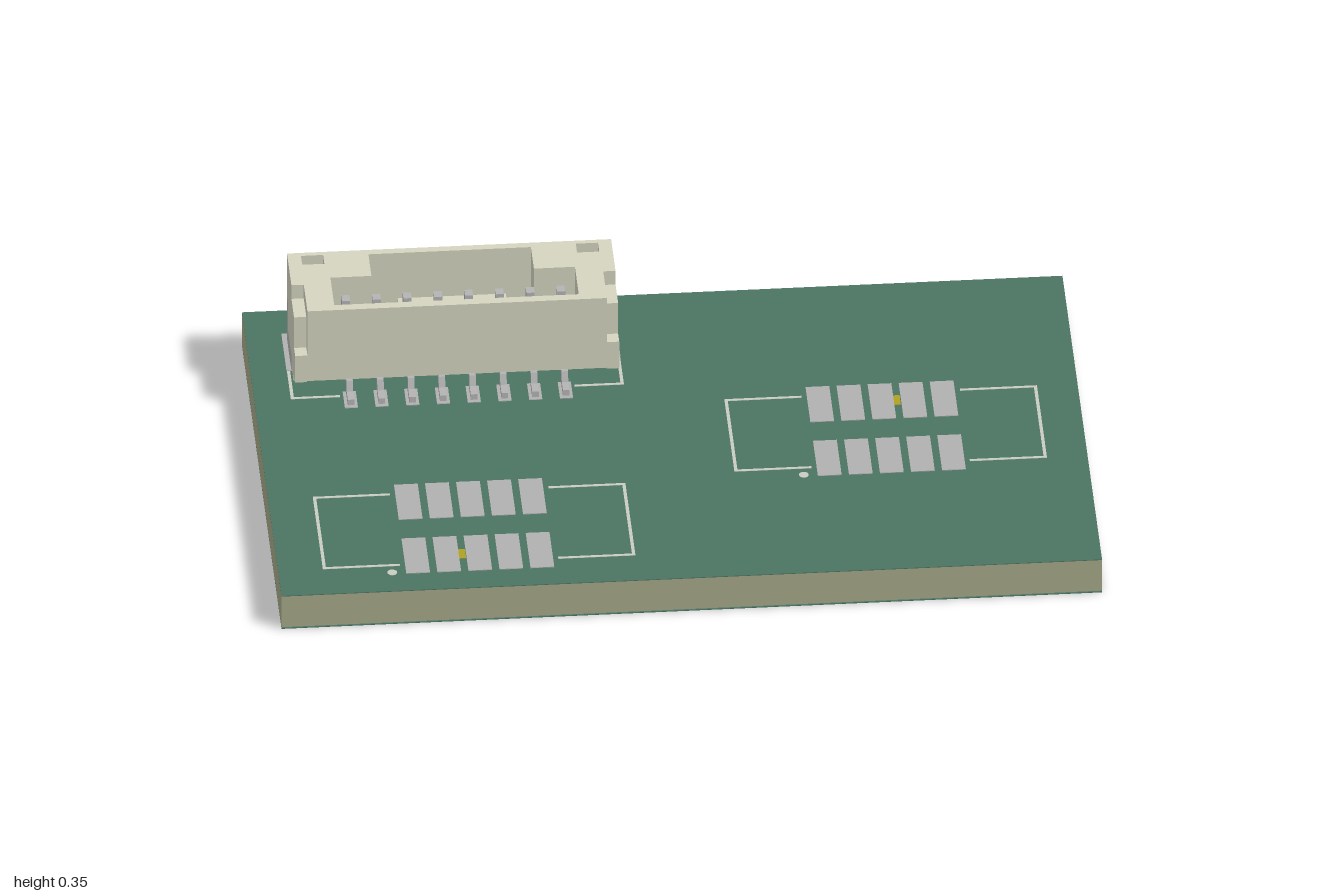
import * as THREE from 'three';

const mat = (color) => new THREE.MeshStandardMaterial({ color, flatShading: true });
const MASK = mat(0x4b7463), CORE = mat(0xa6a888), COPPER = mat(0xb0a020), PAD = mat(0xb0b0b0);
const SILK = mat(0xc8ccc0), PLASTIC = mat(0xd4d4c0), METAL = mat(0xb4b4b4);
const TOP = 0.097; // upper face of the board

function add(parent, name, geometry, material) {
  const mesh = new THREE.Mesh(geometry, material);
  mesh.name = name;
  parent.add(mesh);
  return mesh;
}

// Box given by its limits on each axis
function block(parent, name, material, x0, x1, y0, y1, z0, z1) {
  const g = new THREE.BoxGeometry(x1 - x0, y1 - y0, z1 - z0);
  g.translate((x0 + x1) / 2, (y0 + y1) / 2, (z0 + z1) / 2);
  return add(parent, name, g, material);
}

const points = (list) => list.map(([a, b]) => new THREE.Vector2(a, b));
const rect = (x0, x1, z0, z1) => points([[x0, z0], [x1, z0], [x1, z1], [x0, z1]]);

// Plan outline with holes, raised from y0 to y1
function slab(parent, name, material, outline, holes, y0, y1) {
  const shape = new THREE.Shape(outline);
  holes.forEach((h) => shape.holes.push(new THREE.Path(h)));
  const g = new THREE.ExtrudeGeometry(shape, { depth: y1 - y0, bevelEnabled: false });
  g.rotateX(Math.PI / 2).translate(0, y1, 0);
  return add(parent, name, g, material);
}

// Profile in (z, y), swept from x0 to x1
function sideProfile(parent, name, material, list, x0, x1) {
  const g = new THREE.ExtrudeGeometry(new THREE.Shape(points(list)), { depth: x1 - x0, bevelEnabled: false });
  g.rotateY(-Math.PI / 2).translate(x1, 0, 0);
  return add(parent, name, g, material);
}

// Flat printed line between two points, parallel to an axis
function silkLine(parent, xa, za, xb, zb) {
  const w = 0.004;
  block(parent, 'silkLine', SILK, Math.min(xa, xb) - w, Math.max(xa, xb) + w, TOP - 0.001, TOP + 0.001,
    Math.min(za, zb) - w, Math.max(za, zb) + w);
}

function createBoard() {
  const board = new THREE.Group();
  board.name = 'board';
  block(board, 'boardCore', CORE, -1, 1, 0.005, 0.095, -0.612, 0.612);
  block(board, 'bottomCopper', COPPER, -0.97, 0.97, 0.001, 0.005, -0.585, 0.585);
  block(board, 'topMask', MASK, -1, 1, 0.095, TOP, -0.612, 0.612);
  block(board, 'bottomMask', MASK, -1, 1, 0, 0.002, -0.612, 0.612);
  return board;
}

// Two rows of five pads with a split printed outline and a pin one dot
function createHeaderFootprint(name, cx, cz) {
  const f = new THREE.Group();
  f.name = name;
  for (const row of [-1, 1]) {
    for (let i = -2; i <= 2; i++) {
      const x = i * 0.0757, z = row * 0.116;
      block(f, 'headerPad', PAD, x - 0.029, x + 0.029, TOP - 0.001, TOP + 0.002, z - 0.075, z + 0.075);
    }
  }
  for (const s of [-1, 1]) {
    silkLine(f, s * 0.377, -0.152, s * 0.377, 0.152);
    for (const z of [-0.152, 0.152]) silkLine(f, s * 0.377, z, s * 0.197, z);
  }
  const dot = add(f, 'pinOneDot', new THREE.CylinderGeometry(0.012, 0.012, 0.002, 20), SILK);
  dot.position.set(-0.214, TOP, 0.183);
  f.position.set(cx, 0, cz);
  return f;
}

// Connector, built about x = 0
function createConnector() {
  const c = new THREE.Group();
  c.name = 'connector';
  const W = 0.395, IN = 0.365, BACK = -0.487, FRONT = -0.235;

  // Housing: floor with a through slot, then walls round a stepped cavity
  const slot = rect(-0.198, 0.198, -0.468, -0.386);
  slab(c, 'housingFloor', PLASTIC, rect(-IN, IN, BACK, -0.29), [slot], 0.11, 0.16);
  block(c, 'frontLedge', PLASTIC, -IN, IN, 0.138, 0.16, -0.29, FRONT - 0.01);
  const cavity = points([[-0.298, -0.257], [0.298, -0.257], [0.298, -0.375], [0.198, -0.375],
    [0.198, -0.468], [-0.198, -0.468], [-0.198, -0.375], [-0.298, -0.375]]);
  const pockets = [-1, 1].map((s) => rect(s * 0.335 - 0.027, s * 0.335 + 0.027, -0.474, -0.436));
  slab(c, 'housingWalls', PLASTIC, rect(-IN, IN, BACK, FRONT), [cavity], 0.15, 0.31);
  slab(c, 'housingRim', PLASTIC, rect(-IN, IN, BACK, FRONT), [cavity, ...pockets], 0.31, 0.35);
  block(c, 'cavityBar', PLASTIC, -0.132, 0.132, 0.16, 0.26, -0.405, -0.386);

  // Stepped end cheeks and the metal solder tabs set into them
  const cheek = [[FRONT, 0.145], [FRONT, 0.22], [-0.27, 0.22], [-0.27, 0.31], [-0.35, 0.31], [-0.35, 0.35],
    [BACK, 0.35], [BACK, 0.225], [-0.45, 0.225], [-0.45, 0.145], [-0.35, 0.145], [-0.35, 0.11],
    [-0.29, 0.11], [-0.29, 0.135], [-0.245, 0.135], [-0.245, 0.145]];
  const tab = [[BACK, 0.225], [-0.45, 0.225], [-0.45, 0.145], [-0.35, 0.145], [-0.35, 0.098], [BACK, 0.098]];
  for (const s of [-1, 1]) {
    const x0 = s < 0 ? -W : IN, x1 = s < 0 ? -IN : W;
    sideProfile(c, 'endCheek', PLASTIC, cheek, x0, x1);
    sideProfile(c, 'solderTab', METAL, tab, x0, x1);
    block(c, 'tabPad', PAD, s * 0.38 - 0.027, s * 0.38 + 0.027, TOP - 0.001, TOP + 0.002, -0.51, -0.35);
    silkLine(c, s * 0.402, -0.503, s * 0.402, -0.233);
    silkLine(c, s * 0.402, -0.233, s * 0.29, -0.233);
  }
  silkLine(c, -0.34, -0.503, 0.34, -0.503);

  // Eight contacts: pad, bent lead and two prongs in the cavity
  const lead = [[-0.19, 0.098], [-0.19, 0.115], [-0.225, 0.115], [-0.235, 0.14], [-0.3, 0.14],
    [-0.3, 0.122], [-0.25, 0.122], [-0.245, 0.098]];
  for (let i = 0; i < 8; i++) {
    const x = (i - 3.5) * 0.0749;
    block(c, 'leadPad', PAD, x - 0.016, x + 0.016, TOP - 0.001, TOP + 0.002, -0.25, -0.18);
    sideProfile(c, 'lead', METAL, lead, x - 0.008, x + 0.008);
    block(c, 'contactPost', METAL, x - 0.01, x + 0.01, 0.16, 0.3, -0.37, -0.345);
    block(c, 'contactTip', METAL, x - 0.008, x + 0.008, 0.16, 0.2, -0.3, -0.282);
  }
  c.position.x = -0.505;
  return c;
}

export function createModel() {
  const model = new THREE.Group();
  model.name = 'circuitBoard';
  model.add(createBoard(), createConnector());
  model.add(createHeaderFootprint('rightHeaderFootprint', 0.52, 0.01));
  model.add(createHeaderFootprint('leftHeaderFootprint', -0.51, 0.35));
  // Bare copper links between neighbouring pads
  for (const [x, z] of [[0.555, -0.11], [-0.55, 0.466]]) {
    block(model, 'copperLink', COPPER, x - 0.01, x + 0.01, TOP - 0.001, TOP + 0.001, z - 0.02, z + 0.02);
  }
  return model;
}
